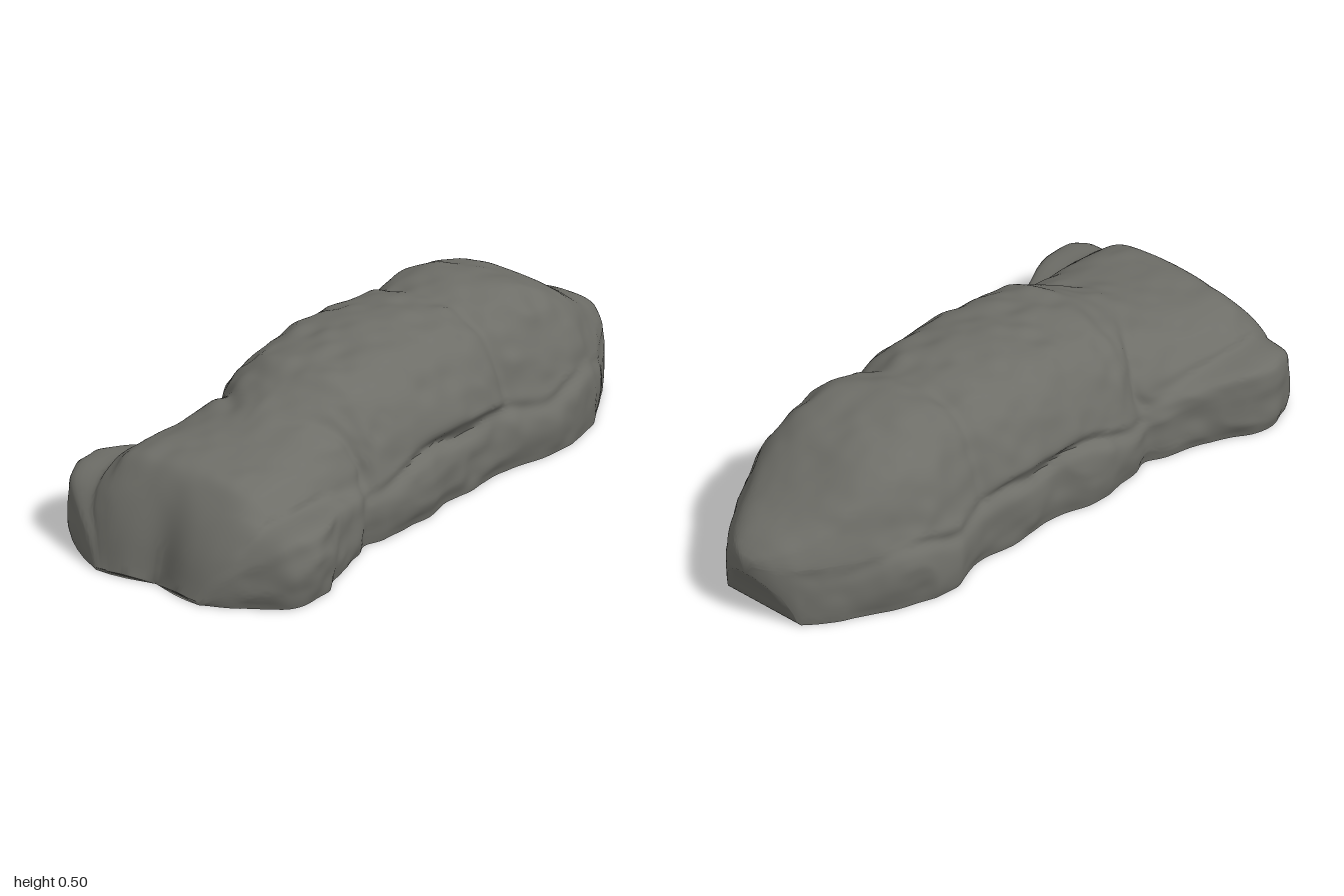
import * as THREE from 'three';
import { toCreasedNormals } from 'three/addons/utils/BufferGeometryUtils.js';

// Stations along z: [z, foot half-width, ledge height, upper half-width, crown height]
const STATIONS = [
  [-1, 0.03, 0.185, 0.03, 0.205], [-0.98, 0.08, 0.185, 0.075, 0.225], [-0.95, 0.123, 0.18, 0.115, 0.247],
  [-0.92, 0.152, 0.175, 0.145, 0.264], [-0.85, 0.205, 0.175, 0.195, 0.3], [-0.75, 0.27, 0.185, 0.25, 0.365],
  [-0.65, 0.32, 0.2, 0.285, 0.43], [-0.55, 0.34, 0.205, 0.305, 0.472], [-0.43, 0.345, 0.19, 0.31, 0.5],
  [-0.3, 0.318, 0.19, 0.302, 0.487], [-0.18, 0.318, 0.21, 0.318, 0.493], [0, 0.322, 0.21, 0.32, 0.5],
  [0.1, 0.348, 0.21, 0.32, 0.492], [0.22, 0.347, 0.2, 0.315, 0.478], [0.33, 0.332, 0.175, 0.305, 0.468],
  [0.4, 0.338, 0.16, 0.3, 0.435], [0.5, 0.355, 0.175, 0.305, 0.395], [0.6, 0.392, 0.2, 0.315, 0.354],
  [0.68, 0.435, 0.21, 0.33, 0.338], [0.77, 0.452, 0.212, 0.335, 0.332], [0.83, 0.437, 0.207, 0.325, 0.318],
  [0.88, 0.405, 0.182, 0.31, 0.268], [0.93, 0.335, 0.13, 0.275, 0.2], [0.97, 0.265, 0.075, 0.225, 0.118],
  [1, 0.2, 0.008, 0.18, 0.012],
];
const LOWER = [[0.965, 0], [0.99, 0.2], [1, 0.45], [0.985, 0.75], [0.95, 1]];
const UPPER = [[0.99, 0.13], [0.93, 0.33], [0.84, 0.55], [0.74, 0.74], [0.6, 0.87], [0.42, 0.95], [0.2, 0.99]];
const UNDERSIDE = [-0.7, -0.45, -0.2, 0, 0.2, 0.45, 0.7];

const bump = (d, width) => Math.exp(-((d / width) ** 2));

// Cubic interpolation of the stations
function stationAt(z) {
  let i = 0;
  while (i < STATIONS.length - 2 && z > STATIONS[i + 1][0]) i++;
  const at = k => STATIONS[Math.min(STATIONS.length - 1, Math.max(0, k))];
  const p = at(i - 1), a = at(i), b = at(i + 1), n = at(i + 2);
  const h = b[0] - a[0], t = (z - a[0]) / h;
  return a.map((v, k) => {
    const m0 = (b[k] - p[k]) / (b[0] - p[0]) * h, m1 = (n[k] - v) / (n[0] - a[0]) * h;
    return (2 * t ** 3 - 3 * t * t + 1) * v + (t ** 3 - 2 * t * t + t) * m0
      + (3 * t * t - 2 * t ** 3) * b[k] + (t ** 3 - t * t) * m1;
  });
}

// Smooth lattice noise in -1..1
function hash(x, y, z) {
  const s = Math.sin(x * 127.1 + y * 311.7 + z * 74.7) * 43758.5453;
  return (s - Math.floor(s)) * 2 - 1;
}
function noise(x, y, z) {
  const c = [x, y, z].map(Math.floor);
  const f = [x - c[0], y - c[1], z - c[2]].map(t => t * t * (3 - 2 * t));
  let sum = 0;
  for (let k = 0; k < 8; k++) {
    const o = [k & 1, (k >> 1) & 1, k >> 2];
    const weight = o.reduce((acc, on, d) => acc * (on ? f[d] : 1 - f[d]), 1);
    sum += weight * hash(c[0] + o[0], c[1] + o[1], c[2] + o[2]);
  }
  return sum;
}

// Weathering: seams between the lobes, groove under the overhang, front notch and roughness
function weather(x, y, z, ledge) {
  const above = THREE.MathUtils.smoothstep(y, ledge - 0.05, ledge + 0.08);
  const side = Math.abs(x);
  const flank = THREE.MathUtils.smoothstep(side, 0.02, 0.2);
  const seams = (0.05 * bump(z + 0.27 + 0.1 * side, 0.03) * above
    + 0.055 * bump(z - 0.56 + 0.45 * side, 0.035) * above) * (0.2 + 0.8 * flank)
    + 0.06 * bump(z - 0.38, 0.04) * (1 - above);
  // Undulating horizontal groove, deepest along the middle lobe
  const grooveY = ledge - 0.01 + 0.015 * Math.sin(z * 17);
  const groove = bump(y - grooveY, 0.02) * (0.07 * bump(z - 0.04, 0.3) + 0.04 * bump(z + 0.6, 0.22));
  // Hollows where the front corners meet the central face
  const hollow = 0.05 * bump(side - 0.27, 0.06) * bump(y - 0.24, 0.05) * bump(z - 0.8, 0.08);
  const ridge = 0.5 - Math.abs(noise(x * 9 + 7, y * 11, z * 8));
  const rough = 0.025 * noise(x * 6 + 3, y * 7, z * 6) + 0.03 * ridge * flank
    + 0.016 * noise(x * 19, y * 19 + 5, z * 17);
  const scale = 0.994 + rough - seams - groove - hollow;
  const shift = -0.3 * side * bump(z - 0.5, 0.15) * above
    - 0.035 * bump(x, 0.08) * THREE.MathUtils.smoothstep(z, 0.85, 1);
  const ny = y < 0.01 ? y : Math.max(0, 0.13 + (y - 0.13) * scale);
  return [x * scale, ny, z + shift];
}

function rockGeometry() {
  const RINGS = 170, SEGMENTS = 108;
  const n = SEGMENTS + 1 + UNDERSIDE.length;
  const positions = [], index = [];
  for (let i = 0; i <= RINGS; i++) {
    const z = -Math.cos(i / RINGS * Math.PI) * 0.35 + (i / RINGS * 2 - 1) * 0.65;
    const [, w, ledge, u, top] = stationAt(z);
    // The back tip overhangs the ground
    const base = 0.155 * Math.max(0, (-z - 0.925) / 0.075) ** 0.7;
    const half = [
      ...LOWER.map(([f, h]) => [f * w, base + h * (ledge - base)]),
      ...UPPER.map(([f, h]) => [f * u, ledge + h * (top - ledge)]),
    ];
    const mirrored = half.map(([x, y]) => [-x, y]).reverse();
    const profile = new THREE.SplineCurve([...half, [0, top], ...mirrored].map(p => new THREE.Vector2(...p)));
    const ring = profile.getPoints(SEGMENTS);
    for (const f of UNDERSIDE) ring.push(new THREE.Vector2(f * w, base));
    for (const p of ring) positions.push(...weather(p.x, p.y, z, ledge));
  }
  // Skin between the rings
  for (let i = 0; i < RINGS; i++) {
    for (let j = 0; j < n; j++) {
      const k = (j + 1) % n, a = i * n, b = a + n;
      index.push(a + j, a + k, b + k, a + j, b + k, b + j);
    }
  }
  // End caps, fanned from the middle of the underside
  const back = SEGMENTS + 4, front = RINGS * n;
  for (let j = 0; j < n; j++) {
    const k = (j + 1) % n;
    if (j === back || k === back) continue;
    index.push(back, k, j, front + back, front + j, front + k);
  }
  const geometry = new THREE.BufferGeometry();
  geometry.setAttribute('position', new THREE.Float32BufferAttribute(positions, 3));
  geometry.setIndex(index);
  return toCreasedNormals(geometry, 0.8);
}

export function createModel() {
  const stone = new THREE.MeshStandardMaterial({ color: 0x6e6e68 });
  stone.name = 'grey stone';
  const rock = new THREE.Mesh(rockGeometry(), stone);
  rock.name = 'rock';
  const model = new THREE.Group();
  model.name = 'rockFormation';
  model.add(rock);
  return model;
}
